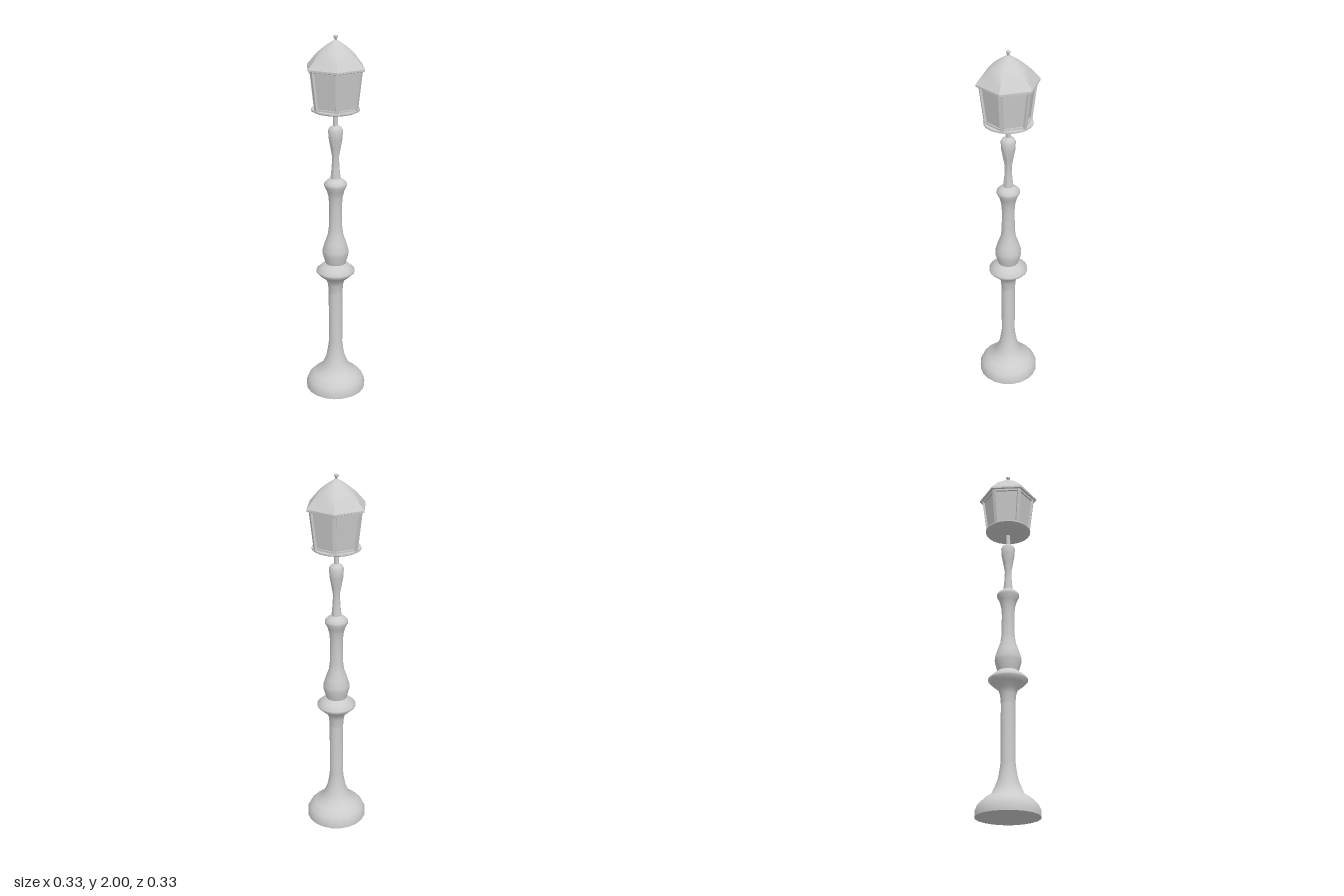
import * as THREE from 'three';
import { toCreasedNormals } from 'three/addons/utils/BufferGeometryUtils.js';

const metal = new THREE.MeshStandardMaterial({ color: 0xcccccc });
const HALF = Math.PI / 6;

function add(parent, name, geometry) {
  const mesh = new THREE.Mesh(geometry, metal);
  mesh.name = name;
  parent.add(mesh);
  return mesh;
}

// Round turned part from [radius, y] pairs, listed bottom to top
function turned(profile, segments = 20, crease = 1) {
  const points = profile.map(([r, y]) => new THREE.Vector2(r, y));
  return toCreasedNormals(new THREE.LatheGeometry(points, segments), crease);
}

// Six-sided part from [corner radius, y, hexness]; hexness 0 is round, 1 is a hexagon
function hexTurned(profile, crease = 0.6) {
  const points = profile.map(([r, y]) => new THREE.Vector2(r, y));
  const geometry = new THREE.LatheGeometry(points, 24);
  const pos = geometry.attributes.position;
  for (let i = 0; i < pos.count; i++) {
    const hexness = profile[i % profile.length][2] ?? 1;
    const angle = Math.atan2(pos.getZ(i), pos.getX(i)) + 2 * Math.PI;
    const flat = Math.cos(HALF) / Math.cos((angle % (2 * HALF)) - HALF);
    const k = 1 + (flat - 1) * hexness;
    pos.setX(i, pos.getX(i) * k);
    pos.setZ(i, pos.getZ(i) * k);
  }
  return toCreasedNormals(geometry, crease);
}

// Square bar between two points, turned to face outward
function bar(parent, name, a, b, width, depth) {
  const mesh = add(parent, name, new THREE.BoxGeometry(width, a.distanceTo(b), depth));
  const along = b.clone().sub(a).normalize();
  const mid = a.clone().add(b).multiplyScalar(0.5);
  const side = along.clone().cross(new THREE.Vector3(mid.x, 0, mid.z)).normalize();
  mesh.quaternion.setFromRotationMatrix(
    new THREE.Matrix4().makeBasis(side, along, side.clone().cross(along)));
  mesh.position.copy(mid);
}

const corner = (i, r, y) =>
  new THREE.Vector3(Math.cos(i * 2 * HALF) * r, y, Math.sin(i * 2 * HALF) * r);

export function createModel() {
  const lamp = new THREE.Group();
  lamp.name = 'streetLamp';

  // Foot and lower shaft
  add(lamp, 'base', turned([
    [0, 0], [0.166, 0], [0.166, 0.03], [0.152, 0.06], [0.123, 0.09], [0.085, 0.115],
    [0.068, 0.15], [0.052, 0.19], [0.043, 0.24], [0.038, 0.28], [0.038, 0.59],
  ]));

  // Collar and swelling above it
  add(lamp, 'collar', turned([
    [0.038, 0.59], [0.042, 0.64], [0.052, 0.67], [0.085, 0.697], [0.105, 0.717],
    [0.105, 0.727], [0.08, 0.75], [0.056, 0.77],
  ]));
  add(lamp, 'middleShaft', turned([
    [0.056, 0.77], [0.071, 0.825], [0.071, 0.845], [0.058, 0.89], [0.042, 0.935],
    [0.036, 0.98], [0.034, 1.1], [0.038, 1.15], [0.047, 1.185], [0.061, 1.213],
    [0.061, 1.226], [0.048, 1.24], [0.027, 1.255],
  ]));

  // Slender upper baluster and the pin carrying the lantern
  add(lamp, 'upperShaft', turned([
    [0.027, 1.25], [0.021, 1.31], [0.018, 1.37], [0.027, 1.42], [0.036, 1.47],
    [0.039, 1.515], [0.031, 1.53], [0.013, 1.54], [0.012, 1.61],
  ]));

  const lantern = new THREE.Group();
  lantern.name = 'lantern';
  lamp.add(lantern);

  // Round dish under the lantern
  add(lantern, 'dish', turned([
    [0, 1.6], [0.03, 1.603], [0.115, 1.616], [0.126, 1.622], [0.126, 1.63], [0, 1.632],
  ], 24, 0.6));

  // Recessed glass with framing
  add(lantern, 'glass', hexTurned([[0.112, 1.63], [0.138, 1.84]]));
  for (let i = 0; i < 6; i++) {
    bar(lantern, 'cornerPost', corner(i, 0.116, 1.628), corner(i, 0.142, 1.838), 0.018, 0.012);
    bar(lantern, 'bottomRail', corner(i, 0.115, 1.634), corner(i + 1, 0.115, 1.634), 0.011, 0.01);
    bar(lantern, 'topRail', corner(i, 0.141, 1.83), corner(i + 1, 0.141, 1.83), 0.012, 0.01);
  }

  // Roof: hexagonal eave blending into a round crown
  add(lantern, 'roof', hexTurned([
    [0, 1.838, 1], [0.145, 1.836, 1], [0.156, 1.83, 1], [0.163, 1.833, 1], [0.163, 1.843, 1],
    [0.14, 1.868, 0.95], [0.113, 1.898, 0.6], [0.086, 1.921, 0.2], [0.055, 1.945, 0],
    [0.026, 1.965, 0], [0.007, 1.977, 0], [0, 1.978, 0],
  ]));

  // Finial
  add(lantern, 'finial', turned([
    [0.006, 1.97], [0.006, 1.984], [0.011, 1.99], [0.012, 1.995], [0.008, 2], [0, 2],
  ], 12));

  return lamp;
}
